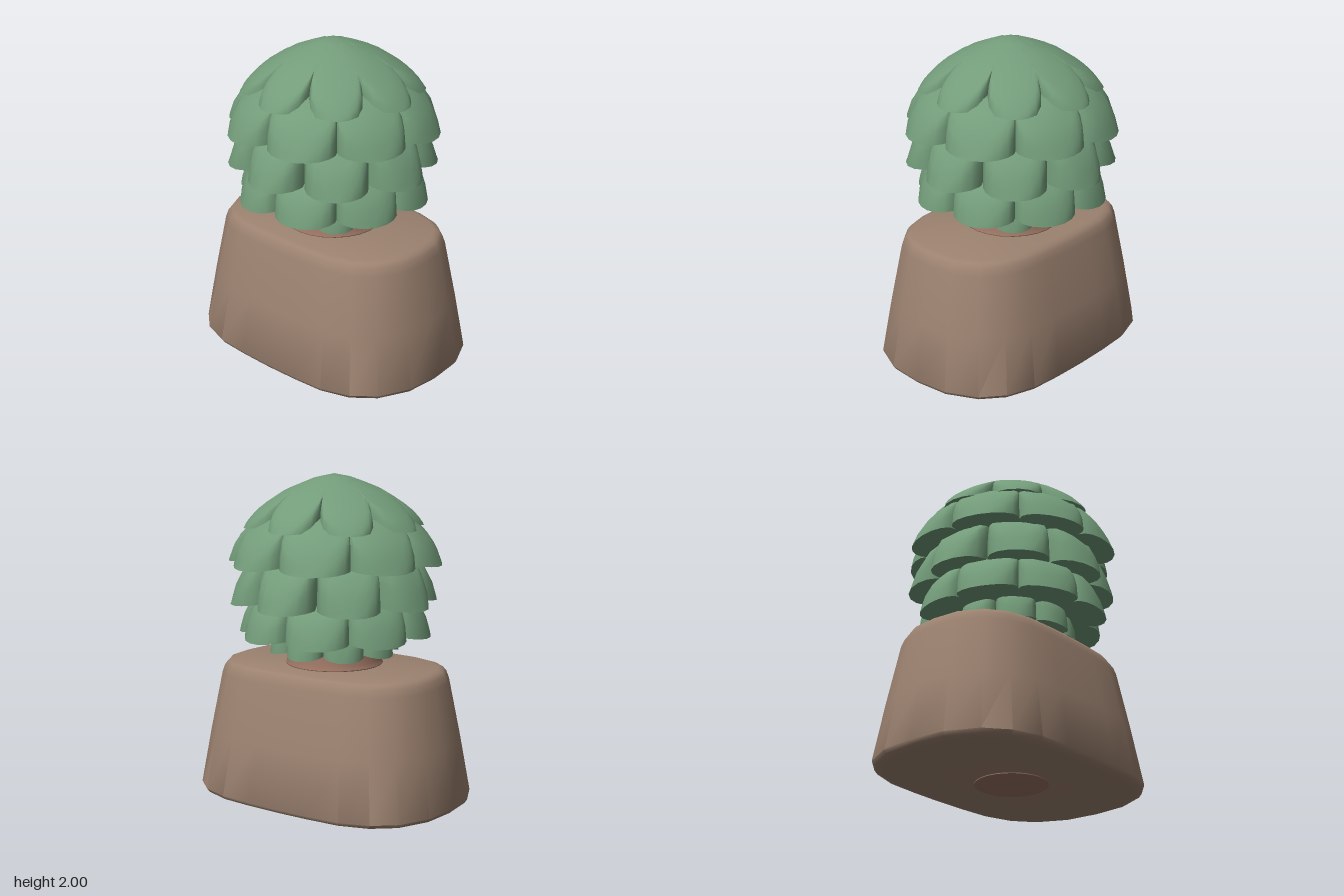
import * as THREE from 'three';
import { mergeVertices, toCreasedNormals } from 'three/addons/utils/BufferGeometryUtils.js';

const LEAF = new THREE.MeshStandardMaterial({ color: 0x739c7a });
const POT = new THREE.MeshStandardMaterial({ color: 0x9c8270 });
const TRUNK = new THREE.MeshStandardMaterial({ color: 0x9a7362 });

// Skins closed rings of points, bottom to top; the first and last ring are single points.
function loft(rings, crease) {
  const n = rings[0].length;
  const index = [];
  for (let r = 0; r < rings.length - 1; r++) {
    for (let i = 0; i < n; i++) {
      const a = r * n + i, b = r * n + (i + 1) % n, c = a + n, d = b + n;
      if (r > 0) index.push(a, b, d);
      if (r < rings.length - 2) index.push(a, d, c);
    }
  }
  const g = new THREE.BufferGeometry();
  g.setAttribute('position', new THREE.Float32BufferAttribute(rings.flat(2), 3));
  g.setIndex(index);
  return toCreasedNormals(mergeVertices(g, 1e-5), crease);
}

// Linear lookup of height in a [radius, height] profile.
function heightAt(profile, r) {
  for (let i = 1; i < profile.length; i++) {
    const [r0, y0] = profile[i - 1], [r1, y1] = profile[i];
    if (r <= r1) return y0 + (y1 - y0) * (r - r0) / (r1 - r0);
  }
  return profile[profile.length - 1][1];
}

// One tier: a dome whose edge is cut into eight rounded leaves.
function leafTier({ tip, notch, rim, turn, profile }) {
  const lobes = 8, steps = 10;
  const edge = [];
  for (let l = 0; l < lobes; l++) {
    for (let s = 0; s < steps; s++) {
      const a = (s / steps - 0.5) * Math.PI, u = Math.sin(a);
      edge.push({
        angle: (l + turn + u / 2) * Math.PI * 2 / lobes,
        radius: notch + (tip - notch) * Math.cos(a),
        y: rim + 0.025 * u * u,
      });
    }
  }
  const ring = (t, height) => edge.map((e) => {
    const r = e.radius * t;
    return [r * Math.sin(e.angle), height(e, r), r * Math.cos(e.angle)];
  });
  // underside
  const rings = [ring(0, () => rim + 0.04), ring(0.6, () => rim + 0.035), ring(1, (e) => e.y)];
  // rounded leaf edge, then the dome up to its crown
  for (const [t, drop] of [[0.985, 0.4], [0.95, 0.12], [0.88, 0], [0.78, 0], [0.65, 0], [0.5, 0], [0.35, 0], [0.18, 0], [0, 0]]) {
    rings.push(ring(t, (e, r) => THREE.MathUtils.lerp(heightAt(profile, r), e.y, drop)));
  }
  return loft(rings, 0.85);
}

const TIERS = [
  { tip: 0.40, notch: 0.30, rim: 0.91, turn: 0, profile: [[0, 1.12], [0.34, 1.1], [0.39, 1.03], [0.4, 0.93]] },
  { tip: 0.595, notch: 0.48, rim: 1.02, turn: 0.5, profile: [[0, 1.36], [0.4, 1.32], [0.51, 1.23], [0.56, 1.15], [0.595, 1.05]] },
  { tip: 0.64, notch: 0.45, rim: 1.22, turn: 0, profile: [[0, 1.6], [0.4, 1.55], [0.53, 1.46], [0.6, 1.35], [0.64, 1.23]] },
  { tip: 0.66, notch: 0.53, rim: 1.46, turn: 0.5, profile: [[0, 1.82], [0.4, 1.77], [0.53, 1.68], [0.61, 1.59], [0.66, 1.47]] },
  { tip: 0.555, notch: 0.36, rim: 1.68, turn: 0, profile: [[0, 2], [0.12, 1.975], [0.3, 1.9], [0.42, 1.82], [0.5, 1.755], [0.555, 1.69]] },
];

// Tapered pot with a rounded oblong outline, mirrored from one quadrant.
function potGeometry() {
  const q = [[0, 0.6], [0.22, 0.595], [0.43, 0.58], [0.61, 0.52], [0.74, 0.41], [0.83, 0.22], [0.85, 0]];
  const half = [...q, ...q.slice(0, -1).reverse().map(([x, z]) => [x, -z])];
  const outline = [...half, ...half.slice(1, -1).reverse().map(([x, z]) => [-x, z])];
  const ring = (inset, y) => outline.map(([x, z]) => [x * (1 - inset / 0.85), y, z * (1 - inset / 0.6)]);
  return loft([
    ring(0.6, 0.004).map(() => [0, 0.004, 0]),
    ring(0.06, 0.008), ring(0.015, 0.022), ring(0, 0.045),
    ring(0.06, 0.4), ring(0.127, 0.76), ring(0.142, 0.805), ring(0.16, 0.83), ring(0.19, 0.84),
    ring(0.6, 0.84).map(() => [0, 0.84, 0]),
  ], 0.8);
}

export function createModel() {
  const model = new THREE.Group();
  const add = (name, geometry, material) => {
    const mesh = new THREE.Mesh(geometry, material);
    mesh.name = name;
    model.add(mesh);
  };

  add('pot', potGeometry(), POT);

  // trunk, flared slightly where it meets the soil
  const trunk = [[0, 0], [0.22, 0], [0.28, 0.8], [0.3, 0.845], [0.287, 0.87], [0.28, 0.96], [0, 0.96]];
  add('trunk', toCreasedNormals(new THREE.LatheGeometry(trunk.map(([x, y]) => new THREE.Vector2(x, y)), 24), 0.6), TRUNK);

  TIERS.forEach((tier, i) => add(`leafTier${i + 1}`, leafTier(tier), LEAF));
  return model;
}
